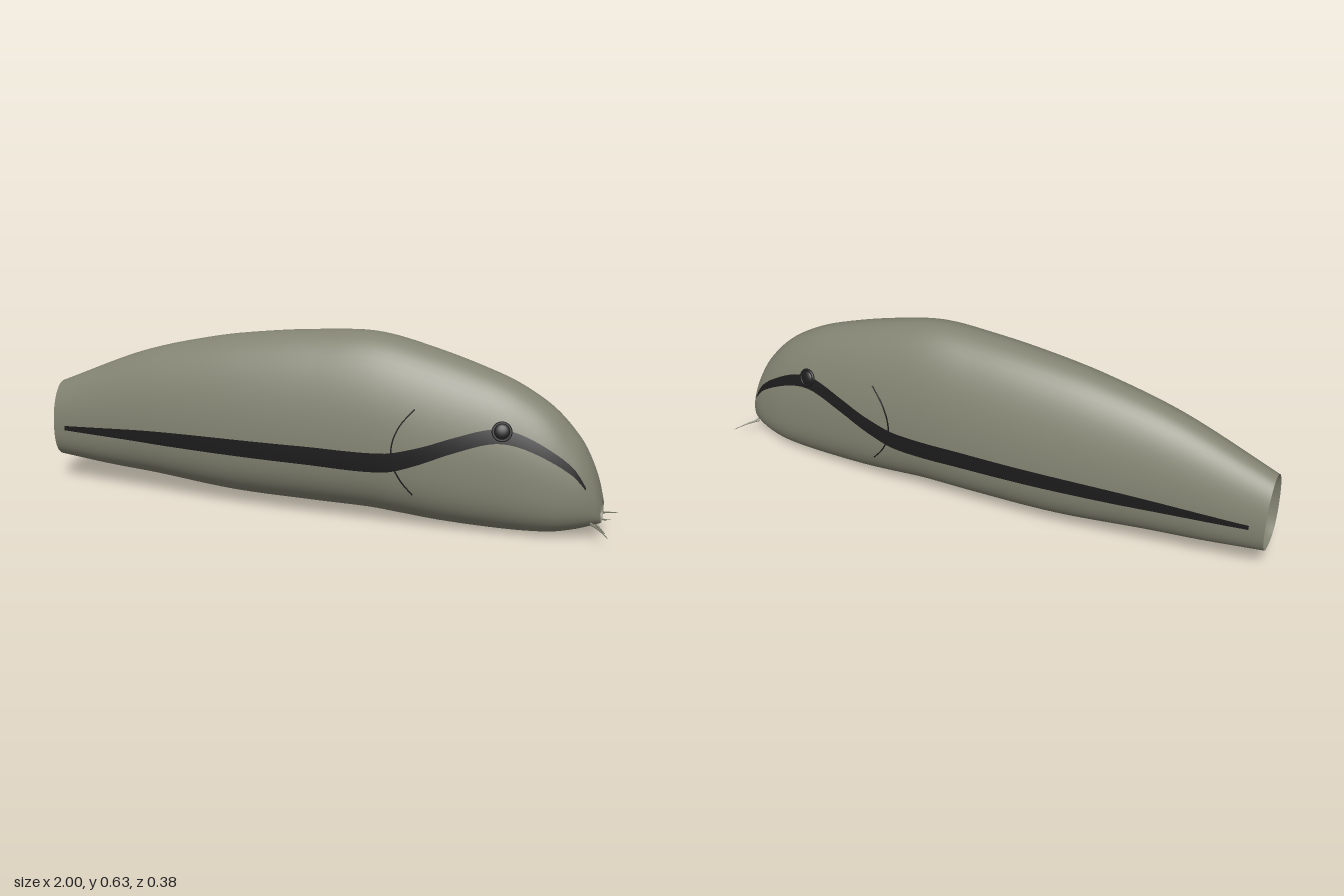
import * as THREE from 'three';

const bodyMat = new THREE.MeshStandardMaterial({ color: 0x838372, side: THREE.DoubleSide });
bodyMat.name = 'olive grey skin';
const darkMat = new THREE.MeshStandardMaterial({ color: 0x1c1c1c, side: THREE.DoubleSide });
darkMat.name = 'black marking';

// Smooth interpolation through [x, value] pairs
function profile(pts) {
  const slope = (i) => {
    const a = pts[Math.max(i - 1, 0)], b = pts[Math.min(i + 1, pts.length - 1)];
    return (b[1] - a[1]) / (b[0] - a[0]);
  };
  return (x) => {
    let i = 0;
    while (i < pts.length - 2 && x > pts[i + 1][0]) i++;
    const [x0, y0] = pts[i], [x1, y1] = pts[i + 1], d = x1 - x0;
    const t = THREE.MathUtils.clamp((x - x0) / d, 0, 1), t2 = t * t, t3 = t2 * t;
    return (2 * t3 - 3 * t2 + 1) * y0 + (t3 - 2 * t2 + t) * d * slope(i)
      + (3 * t2 - 2 * t3) * y1 + (t3 - t2) * d * slope(i + 1);
  };
}

// Body outlines along x, from tail to snout
const NOSE = 0.962;
const top = profile([[-1, 0.365], [-0.67, 0.5], [-0.4, 0.57], [-0.2, 0.602], [0, 0.622], [0.2, 0.628],
  [0.4, 0.585], [0.6, 0.522], [0.7, 0.478], [0.8, 0.412], [0.88, 0.326], [0.917, 0.262], [0.945, 0.192], [NOSE, 0.127]]);
const bottom = profile([[-1, 0.09], [-0.8, 0.072], [-0.6, 0.06], [-0.3, 0.035], [0, 0.03], [0.2, 0.028],
  [0.3, 0.02], [0.45, 0.008], [0.65, 0.002], [0.8, 0.008], [0.88, 0.024], [NOSE, 0.05]]);
const width = profile([[-1, 0.085], [-0.8, 0.115], [-0.6, 0.141], [-0.4, 0.162], [-0.2, 0.177], [0, 0.184],
  [0.15, 0.185], [0.4, 0.177], [0.6, 0.159], [0.7, 0.147], [0.8, 0.129], [0.88, 0.104], [0.92, 0.083], [0.95, 0.057], [NOSE, 0.037]]);
const midRatio = profile([[-1, 0.44], [-0.5, 0.38], [0, 0.36], [0.6, 0.37], [0.85, 0.37], [NOSE, 0.5]]);
const midY = (x) => bottom(x) + (top(x) - bottom(x)) * midRatio(x);
const LOW = 2.4; // fuller curve on the belly

// Half width of the body at a given x and y
function surfaceZ(x, y) {
  const m = midY(x), up = y > m;
  const u = Math.min(1, up ? (y - m) / (top(x) - m) : (m - y) / (m - bottom(x)));
  const n = up ? 2 : LOW;
  return width(x) * Math.pow(1 - Math.pow(u, n), 1 / n);
}
function surfaceNormal(x, y) {
  const e = 0.004;
  return new THREE.Vector3(
    (surfaceZ(x - e, y) - surfaceZ(x + e, y)) / (2 * e),
    (surfaceZ(x, y - e) - surfaceZ(x, y + e)) / (2 * e), 1).normalize();
}
// Point on one flank, lifted off the skin
function onSkin(x, y, lift, side) {
  const p = new THREE.Vector3(x, y, surfaceZ(x, y)).addScaledVector(surfaceNormal(x, y), lift);
  p.z *= side;
  return p;
}

// Surface through rows of points, optionally closed around each row
function loft(rows, closed) {
  const n = rows[0].length, pos = [], idx = [];
  rows.forEach((r) => r.forEach((p) => pos.push(p.x, p.y, p.z)));
  for (let i = 0; i < rows.length - 1; i++) {
    for (let j = 0; j < (closed ? n : n - 1); j++) {
      const k = (j + 1) % n, a = i * n, b = a + n;
      idx.push(a + j, b + j, a + k, b + j, b + k, a + k);
    }
  }
  const g = new THREE.BufferGeometry();
  g.setAttribute('position', new THREE.Float32BufferAttribute(pos, 3));
  g.setIndex(idx);
  g.computeVertexNormals();
  return g;
}

// Egg-shaped section of the body, which can be shrunk and shifted along x
function section(x, scale = 1, atX = x) {
  const pts = [], m = midY(x), c = (top(x) + bottom(x)) / 2;
  for (let j = 0; j < 64; j++) {
    const a = (j / 64) * Math.PI * 2, s = Math.sin(a), co = Math.cos(a);
    const pw = s < 0 ? 2 / LOW : 1;
    const h = s < 0 ? m - bottom(x) : top(x) - m;
    const y = m + Math.sign(s) * Math.pow(Math.abs(s), pw) * h;
    const z = width(x) * Math.sign(co) * Math.pow(Math.abs(co), pw);
    pts.push(new THREE.Vector3(atX, c + (y - c) * scale, z * scale));
  }
  return pts;
}

// Tapered round whisker along a curve
function whisker(points, r) {
  const curve = new THREE.CatmullRomCurve3(points.map((p) => new THREE.Vector3(...p)));
  const seg = 12, radial = 6, g = new THREE.TubeGeometry(curve, seg, r, radial, false);
  const pos = g.attributes.position, v = new THREE.Vector3();
  for (let i = 0; i < pos.count; i++) {
    const t = Math.floor(i / (radial + 1)) / seg, c = curve.getPointAt(t);
    v.fromBufferAttribute(pos, i).sub(c).multiplyScalar(1 - 0.85 * t).add(c);
    pos.setXYZ(i, v.x, v.y, v.z);
  }
  g.computeVertexNormals();
  return g;
}

const stripeY = profile([[-0.95, 0.212], [-0.6, 0.226], [0, 0.232], [0.27, 0.233], [0.38, 0.262], [0.5, 0.308],
  [0.62, 0.343], [0.7, 0.335], [0.8, 0.29], [0.88, 0.232], [0.915, 0.182]]);
const stripeHalf = profile([[-0.95, 0.008], [-0.8, 0.014], [-0.5, 0.025], [0, 0.031], [0.28, 0.032], [0.45, 0.026],
  [0.65, 0.022], [0.8, 0.016], [0.88, 0.011], [0.915, 0.004]]);

export function createModel() {
  const model = new THREE.Group();
  model.name = 'fishBody';
  const add = (name, geo, mat, parent = model) => {
    const mesh = new THREE.Mesh(geo, mat);
    mesh.name = name;
    parent.add(mesh);
    return mesh;
  };

  // Body, with sections closer together towards the snout
  const rows = [];
  for (let i = 0; i <= 90; i++) {
    const t = i / 90;
    rows.push(section(-1 + (NOSE + 1) * (1 - Math.pow(1 - t, 1.6))));
  }
  add('body', loft(rows, true), bodyMat);

  // Hollow mouth and hollow tail stump
  add('mouth', loft([[1, 0], [0.93, 0.006], [0.85, 0.03], [0.65, 0.055], [0.35, 0.065], [0, 0.068]]
    .map(([s, d]) => section(NOSE, s, NOSE - d)), true), bodyMat);
  add('tailHollow', loft([[0, 0.06], [0.4, 0.057], [0.7, 0.045], [0.88, 0.025], [0.96, 0.008], [1, 0]]
    .map(([s, d]) => section(-1, s, -1 + d)), true), bodyMat);

  for (const side of [1, -1]) {
    const flank = new THREE.Group();
    flank.name = side > 0 ? 'frontFlank' : 'backFlank';
    model.add(flank);

    // Dark stripe from tail through the eye to the snout
    const strip = [];
    for (let i = 0; i <= 100; i++) {
      const x = -0.95 + (1.865 * i) / 100, row = [];
      for (let j = -4; j <= 4; j++) row.push(onSkin(x, stripeY(x) + stripeHalf(x) * j / 4, 0.003, side));
      strip.push(row);
    }
    add('stripe', loft(strip, false), darkMat, flank);

    // Eye: flattened dome with a rim, lying on the skin
    const eye = new THREE.Group();
    eye.name = 'eye';
    eye.position.copy(onSkin(0.65, 0.36, 0.003, side));
    const n = surfaceNormal(0.65, 0.36);
    n.z *= side;
    eye.quaternion.setFromUnitVectors(new THREE.Vector3(0, 0, 1), n);
    add('eyeball', new THREE.SphereGeometry(0.026, 24, 16), darkMat, eye).scale.z = 0.4;
    add('eyeRim', new THREE.TorusGeometry(0.028, 0.005, 8, 28), darkMat, eye);
    flank.add(eye);

    // Gill slit
    const gill = [[0.37, 0.415], [0.325, 0.36], [0.302, 0.3], [0.302, 0.24], [0.33, 0.18], [0.37, 0.13]]
      .map(([x, y]) => onSkin(x, y, 0.001, side));
    add('gillSlit', new THREE.TubeGeometry(new THREE.CatmullRomCurve3(gill), 32, 0.0025, 6), darkMat, flank);

    // Whiskers beside the mouth
    add('longWhisker', whisker([[0.935, 0.06, 0.058 * side], [0.967, 0.053, 0.09 * side], [1, 0.042, 0.13 * side]], 0.005), bodyMat, flank);
    add('shortWhisker', whisker([[0.95, 0.05, 0.034 * side], [0.965, 0.042, 0.047 * side], [0.982, 0.036, 0.07 * side]], 0.004), bodyMat, flank);
  }
  return model;
}
